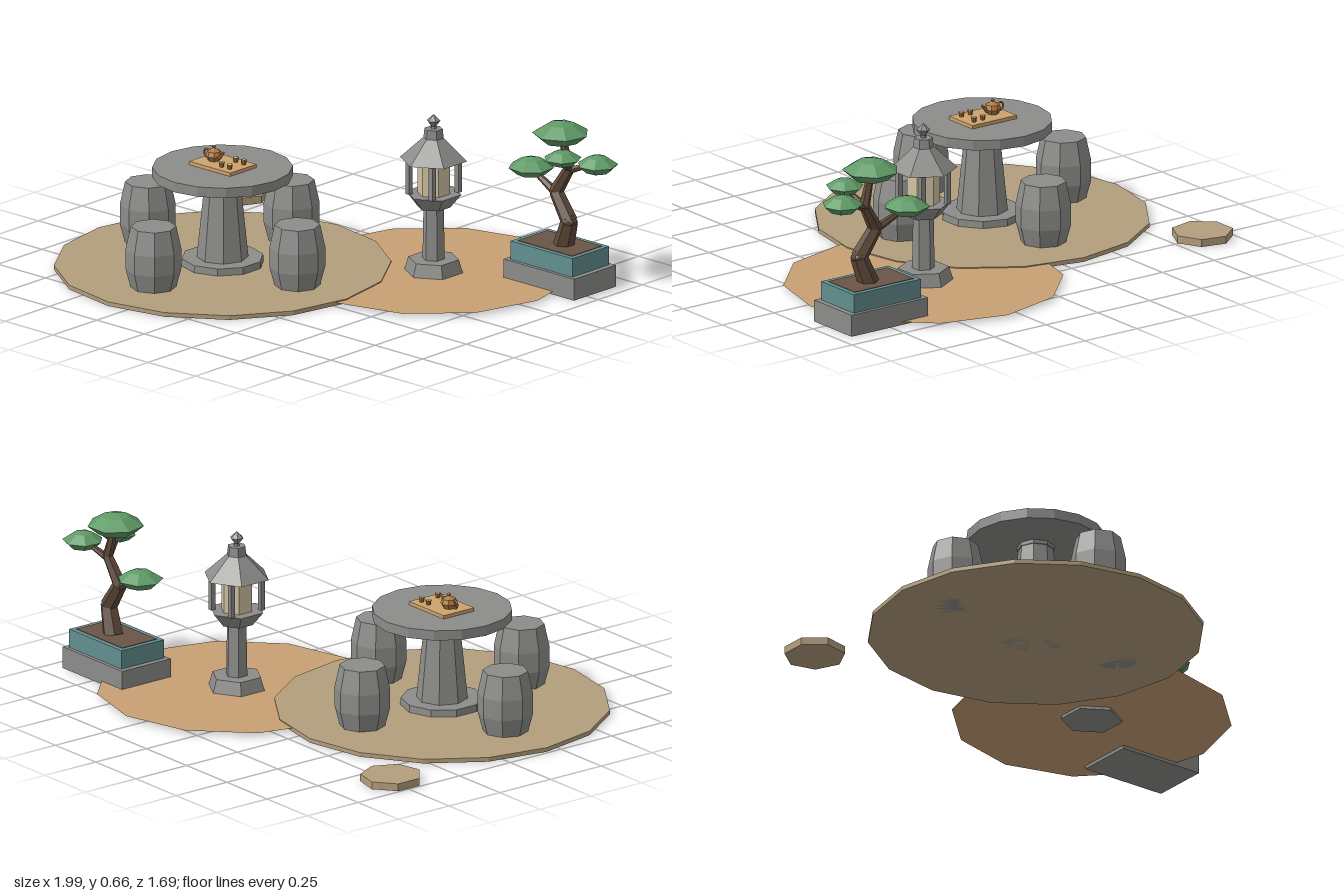
import * as THREE from 'three';

const mat = (name, color, extra = {}) => {
  const m = new THREE.MeshStandardMaterial({ color, ...extra });
  m.name = name;
  return m;
};

export function createModel() {
  const model = new THREE.Group();
  model.name = 'teaGarden';

  const stone = mat('stone', 0x8c8c8a);
  const sand = mat('sand', 0xb39e7d);
  const path = mat('clay path', 0xc8a074, { side: THREE.DoubleSide });
  const glaze = mat('teal glaze', 0x628f91);
  const soil = mat('soil', 0x6b5546);
  const bark = mat('bark', 0x5f4a3a);
  const leaf = mat('foliage', 0x5f9a66);
  const paper = mat('lamp paper', 0xd2c3a2);
  const copper = mat('copper', 0xb0793f);
  const wood = mat('tray wood', 0xcda26c);

  // Faceted mesh helpers
  const add = (parent, name, geo, material, x = 0, y = 0, z = 0) => {
    const flat = geo.index ? geo.toNonIndexed() : geo;
    flat.computeVertexNormals();
    const mesh = new THREE.Mesh(flat, material);
    mesh.name = name;
    mesh.position.set(x, y, z);
    parent.add(mesh);
    return mesh;
  };
  const prism = (parent, name, rTop, rBottom, y0, y1, sides, material, x = 0, z = 0) =>
    add(parent, name, new THREE.CylinderGeometry(rTop, rBottom, y1 - y0, sides), material, x, (y0 + y1) / 2, z);
  const box = (parent, name, w, y0, y1, d, material, x = 0, z = 0) =>
    add(parent, name, new THREE.BoxGeometry(w, y1 - y0, d), material, x, (y0 + y1) / 2, z);
  const lathe = (parent, name, profile, sides, material, x = 0, y = 0, z = 0) =>
    add(parent, name, new THREE.LatheGeometry(profile.map(p => new THREE.Vector2(...p)), sides), material, x, y, z);
  const group = (name, x, z) => {
    const g = new THREE.Group();
    g.name = name;
    g.position.set(x, 0, z);
    model.add(g);
    return g;
  };
  const limb = (parent, name, a, b, ra, rb) => {
    const from = new THREE.Vector3(...a), to = new THREE.Vector3(...b);
    const dir = to.clone().sub(from);
    const m = add(parent, name, new THREE.CylinderGeometry(rb, ra, dir.length(), 6), bark);
    m.position.copy(from).addScaledVector(dir, 0.5);
    m.quaternion.setFromUnitVectors(new THREE.Vector3(0, 1, 0), dir.normalize());
  };

  // Ground
  prism(model, 'patio', 0.652, 0.652, 0, 0.017, 16, sand, -0.337, 0.19);
  const ground = new THREE.CircleGeometry(0.545, 12).rotateX(-Math.PI / 2);
  add(model, 'pathDisc', ground, path, 0.318, 0.013, -0.302);
  prism(model, 'steppingStone', 0.12, 0.12, 0, 0.03, 7, sand, -0.885, -0.495).rotation.y = Math.PI / 2;

  // Table
  const table = group('table', -0.337, 0.19);
  prism(table, 'tableFoot', 0.16, 0.163, 0, 0.045, 10, stone);
  prism(table, 'tableColumn', 0.068, 0.1, 0.045, 0.36, 8, stone);
  prism(table, 'tableCollar', 0.073, 0.073, 0.355, 0.372, 8, stone);
  prism(table, 'tableTop', 0.272, 0.272, 0.37, 0.41, 16, stone);

  // Four barrel stools around the table
  for (let i = 0; i < 4; i++) {
    const a = i * Math.PI / 2;
    lathe(model, 'stool', [[0, 0], [0.084, 0], [0.108, 0.09], [0.108, 0.17], [0.088, 0.262], [0, 0.262]], 8, stone,
      -0.337 + 0.393 * Math.sin(a), 0, 0.19 + 0.393 * Math.cos(a));
  }

  // Tea set
  const tea = group('teaSet', -0.338, 0.187);
  box(tea, 'tray', 0.215, 0.41, 0.424, 0.15, wood);
  lathe(tea, 'teapotBody', [[0, 0], [0.022, 0], [0.034, 0.02], [0.027, 0.038], [0.012, 0.045], [0.005, 0.05],
    [0.008, 0.057], [0, 0.063]], 8, copper, -0.047, 0.424, 0);
  const spout = add(tea, 'teapotSpout', new THREE.CylinderGeometry(0.004, 0.009, 0.04, 6), copper, -0.008, 0.452, 0);
  spout.rotation.z = -0.75;
  add(tea, 'teapotHandle', new THREE.TorusGeometry(0.016, 0.004, 5, 10), copper, -0.083, 0.447, 0);
  for (const x of [0.031, 0.073]) for (const z of [-0.04, 0.04]) {
    prism(tea, 'cup', 0.012, 0.008, 0.424, 0.443, 8, copper, x, z);
    prism(tea, 'cupInside', 0.01, 0.01, 0.442, 0.444, 8, paper, x, z);
  }

  // Stone lantern
  const lantern = group('lantern', 0.318, -0.302);
  prism(lantern, 'lanternBase', 0.1, 0.12, 0, 0.065, 6, stone);
  prism(lantern, 'lanternPost', 0.04, 0.044, 0.065, 0.285, 6, stone);
  prism(lantern, 'lanternBowl', 0.11, 0.066, 0.275, 0.33, 6, stone);
  prism(lantern, 'lanternLight', 0.064, 0.064, 0.33, 0.47, 6, paper);
  for (const x of [-0.061, 0.061]) for (const z of [-0.074, 0.074])
    box(lantern, 'lanternFrame', 0.02, 0.33, 0.475, 0.02, stone, x, z);
  prism(lantern, 'lanternRoof', 0.04, 0.133, 0.467, 0.555, 6, stone);
  prism(lantern, 'lanternRoofCap', 0.036, 0.04, 0.555, 0.592, 6, stone);
  lathe(lantern, 'lanternFinial', [[0, 0], [0.012, 0], [0.01, 0.012], [0.027, 0.035], [0, 0.06]], 6, stone, 0, 0.59, 0);

  // Bonsai planter
  const bonsai = group('bonsai', 0.755, -0.547);
  box(bonsai, 'planterStand', 0.37, 0, 0.087, 0.24, stone);
  box(bonsai, 'planter', 0.325, 0.087, 0.162, 0.21, glaze);
  box(bonsai, 'planterSoil', 0.285, 0.158, 0.164, 0.17, soil);

  // Crooked trunk and branches
  const trunk = [[0.015, 0.155, -0.005, 0.042], [0.055, 0.265, 0.005, 0.034], [-0.02, 0.37, 0, 0.028],
    [0.04, 0.475, -0.012, 0.021], [0.005, 0.6, -0.005, 0.014]];
  for (let i = 1; i < trunk.length; i++) {
    const [a, b] = [trunk[i - 1], trunk[i]];
    limb(bonsai, 'trunk', a.slice(0, 3), b.slice(0, 3), a[3], b[3]);
    if (i < 4) add(bonsai, 'trunkKnot', new THREE.IcosahedronGeometry(b[3], 0), bark, b[0], b[1], b[2]);
  }
  limb(bonsai, 'branch', [-0.02, 0.365, 0], [-0.15, 0.425, -0.012], 0.018, 0.01);
  limb(bonsai, 'branch', [0.035, 0.465, -0.012], [0.15, 0.51, -0.035], 0.016, 0.009);
  limb(bonsai, 'branch', [0.035, 0.47, -0.01], [0.075, 0.535, 0.07], 0.014, 0.008);

  // Foliage pads: x, bottom y, z, radius, height
  for (const [x, y, z, r, h] of [[-0.163, 0.407, -0.013, 0.09, 0.07], [0.003, 0.577, -0.003, 0.112, 0.085],
    [0.165, 0.483, -0.036, 0.08, 0.068], [0.077, 0.518, 0.067, 0.074, 0.058]])
    lathe(bonsai, 'foliagePad', [[0, 0], [0.62 * r, 0], [r, 0.42 * h], [0.48 * r, 0.84 * h], [0, h]], 7, leaf, x, y, z)
      .rotation.y = x * 9;

  return model;
}
